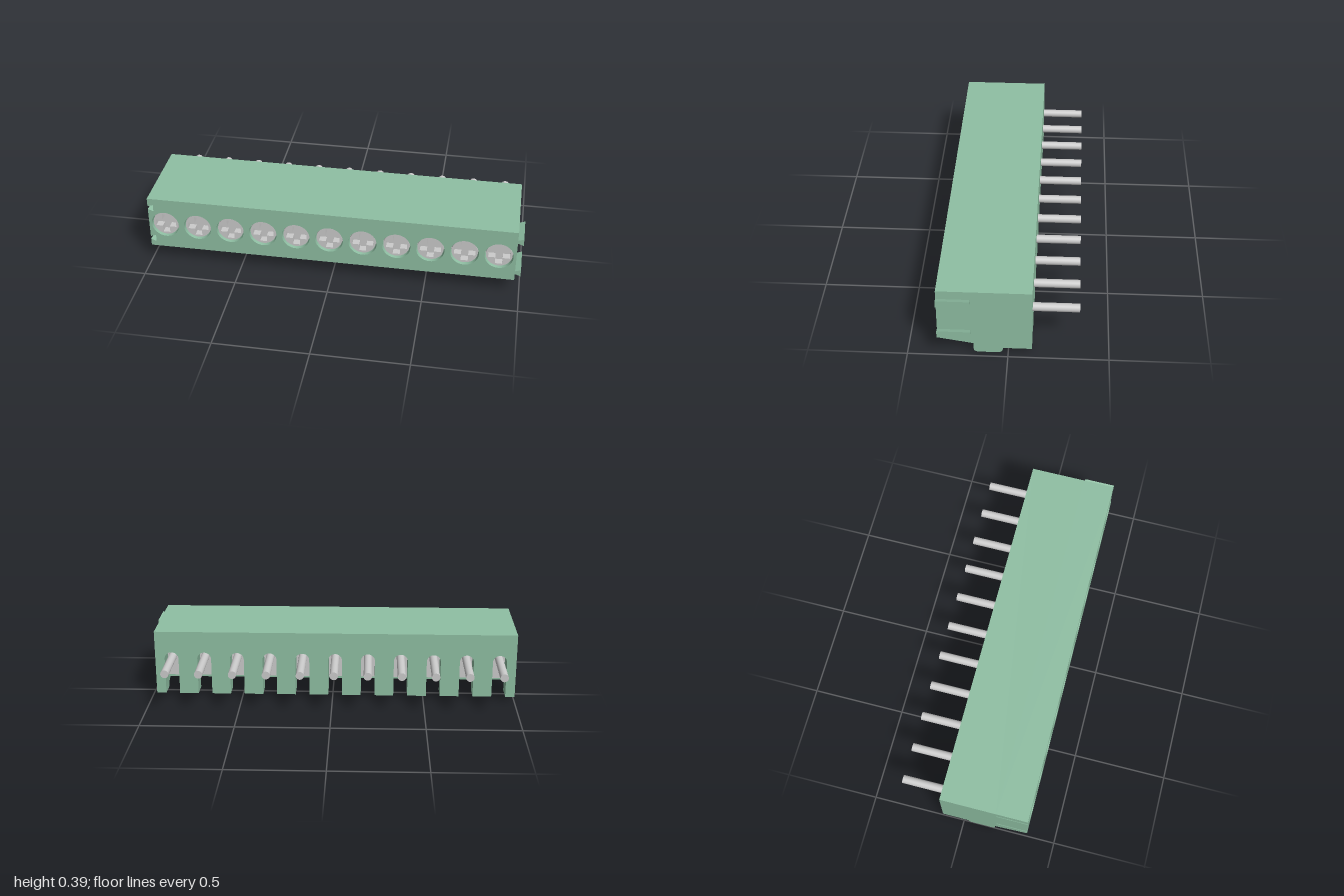
import * as THREE from 'three';
import { toCreasedNormals } from 'three/addons/utils/BufferGeometryUtils.js';

const WAYS = 11, LEFT = -1, RIGHT = 0.97;
const PITCH = (RIGHT - LEFT) / WAYS;
const TOP = 0.387, FRONT = 0.35, BACK = -0.118, STEP = 0.183;
const ROOF = 0.33, AXIS_Y = 0.231, WALL = 0.046;

const green = new THREE.MeshStandardMaterial({ color: 0x8fbfa3 });
const metal = new THREE.MeshStandardMaterial({ color: 0xcccccc });

const cellX = (i) => LEFT + PITCH * (i + 0.5);

function addMesh(parent, name, geometry, material) {
  const mesh = new THREE.Mesh(geometry, material);
  mesh.name = name;
  parent.add(mesh);
  return mesh;
}

// Extrude an x-y shape between two depths
function extrudeZ(shape, z0, z1) {
  const g = new THREE.ExtrudeGeometry(shape, { depth: z1 - z0, bevelEnabled: false, curveSegments: 20 });
  return toCreasedNormals(g.translate(0, 0, z0), 0.6);
}

// Extrude a z-y profile between two x positions
function extrudeX(shape, x0, x1) {
  const g = new THREE.ExtrudeGeometry(shape, { depth: x1 - x0, bevelEnabled: false, curveSegments: 8 });
  return toCreasedNormals(g.rotateY(-Math.PI / 2).translate(x1, 0, 0), 0.6);
}

function boxBetween(x0, x1, y0, y1, z0, z1) {
  return new THREE.BoxGeometry(x1 - x0, y1 - y0, z1 - z0)
    .translate((x0 + x1) / 2, (y0 + y1) / 2, (z0 + z1) / 2);
}

const polygon = (points) => new THREE.Shape(points.map(([x, y]) => new THREE.Vector2(x, y)));

// Front slab with screw holes, dovetail tabs at one end and grooves at the other
function frontSlab() {
  const dovetails = [0.135, 0.33], points = [[LEFT, 0.087], [RIGHT, 0.087]];
  for (const y of dovetails) {
    points.push([RIGHT, y - 0.009], [1, y - 0.02], [1, y + 0.02], [RIGHT, y + 0.009]);
  }
  points.push([RIGHT, TOP], [LEFT, TOP]);
  for (const y of [...dovetails].reverse()) {
    points.push([LEFT, y + 0.009], [LEFT + 0.03, y + 0.02], [LEFT + 0.03, y - 0.02], [LEFT, y - 0.009]);
  }
  const shape = polygon(points);
  for (let i = 0; i < WAYS; i++) {
    shape.holes.push(new THREE.Path().absarc(cellX(i), AXIS_Y, 0.075, 0, Math.PI * 2, true));
  }
  return extrudeZ(shape, STEP, FRONT);
}

// Rear wall with arched slots open at the bottom
function rearWall() {
  const shape = new THREE.Shape(), r = 0.038;
  shape.moveTo(LEFT, 0.03);
  for (let i = 0; i < WAYS; i++) {
    const x = cellX(i);
    shape.lineTo(x - r, 0.03);
    shape.lineTo(x - r, AXIS_Y);
    shape.absarc(x, AXIS_Y, r, Math.PI, 0, true);
    shape.lineTo(x + r, 0.03);
  }
  shape.lineTo(RIGHT, 0.03);
  shape.lineTo(RIGHT, ROOF);
  shape.lineTo(LEFT, ROOF);
  return extrudeZ(shape, BACK, -0.02);
}

// Partition profile with the rounded foot
function partitionProfile() {
  const s = new THREE.Shape();
  s.moveTo(BACK, 0.03);
  s.lineTo(0.025, 0.03);
  s.quadraticCurveTo(0.027, 0, 0.052, 0);
  s.lineTo(0.147, 0);
  s.quadraticCurveTo(0.172, 0, 0.172, 0.025);
  s.lineTo(0.172, 0.056);
  s.lineTo(STEP, 0.058);
  s.lineTo(STEP, ROOF);
  s.lineTo(BACK, ROOF);
  return s;
}

// Screw head outline with a cross recess
function screwShape() {
  const s = new THREE.Shape().absarc(0, 0, 0.069, 0, Math.PI * 2, false);
  const a = 0.019, b = 0.056;
  s.holes.push(new THREE.Path([[a, a], [a, b], [-a, b], [-a, a], [-b, a], [-b, -a], [-a, -a],
    [-a, -b], [a, -b], [a, -a], [b, -a], [b, a]].map(([x, y]) => new THREE.Vector2(x, y))));
  return s;
}

const rodZ = (r, z0, z1) => new THREE.CylinderGeometry(r, r, z1 - z0, 28)
  .rotateX(Math.PI / 2).translate(0, 0, (z0 + z1) / 2);

export function createModel() {
  const model = new THREE.Group();
  model.name = 'terminalBlock';

  // Housing
  const housing = new THREE.Group();
  housing.name = 'housing';
  model.add(housing);
  addMesh(housing, 'frontSlab', frontSlab(), green);
  addMesh(housing, 'roof', boxBetween(LEFT, RIGHT, ROOF, TOP, BACK, STEP), green);
  addMesh(housing, 'rearWall', rearWall(), green);
  const lip = polygon([[0.135, 0.03], [0.172, 0.03], [0.172, 0.056], [FRONT, 0.087], [0.135, 0.087]]);
  addMesh(housing, 'slopedLip', extrudeX(lip, LEFT, RIGHT), green);

  // Partitions between the cells, half as thick at both ends
  const profile = partitionProfile();
  for (let i = 0; i <= WAYS; i++) {
    const x = LEFT + PITCH * i;
    const x0 = Math.max(LEFT, x - WALL / 2), x1 = Math.min(RIGHT, x + WALL / 2);
    addMesh(housing, 'partition', extrudeX(profile, x0, x1), green);
  }

  // Metal parts of each cell
  const headGeometry = extrudeZ(screwShape(), 0.295, 0.337);
  const shankGeometry = rodZ(0.0745, 0.15, 0.297);
  const pinGeometry = rodZ(0.022, -0.35, -0.01);
  const plateGeometry = boxBetween(-0.055, 0.055, -0.13, 0.09, -0.019, 0);
  for (let i = 0; i < WAYS; i++) {
    const contact = new THREE.Group();
    contact.name = 'contact';
    contact.position.set(cellX(i), AXIS_Y, 0);
    addMesh(contact, 'screwHead', headGeometry, metal);
    addMesh(contact, 'screwShank', shankGeometry, metal);
    addMesh(contact, 'pin', pinGeometry, metal);
    addMesh(contact, 'clampPlate', plateGeometry, metal);
    model.add(contact);
  }
  return model;
}
